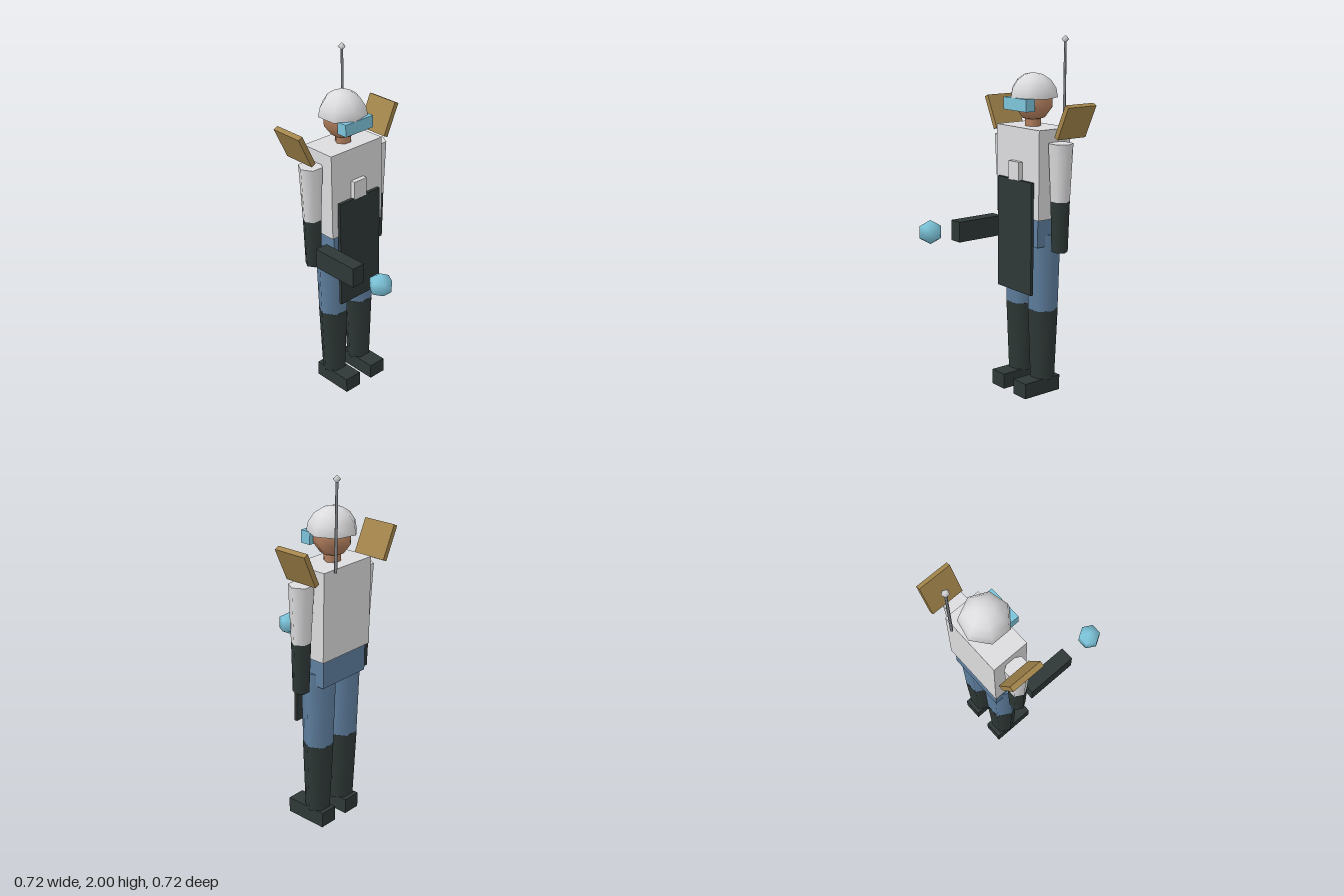
import * as THREE from 'three';

const mat = (name, color, side = THREE.FrontSide) => {
  const m = new THREE.MeshStandardMaterial({ color, side });
  m.name = name;
  return m;
};

export function createModel() {
  const white = mat('white armour', 0xdcdcde, THREE.DoubleSide);
  const dark = mat('dark leather', 0x2e3836);
  const blue = mat('blue cloth', 0x5f7f9f);
  const cyan = mat('cyan glow', 0x7cc4da);
  const bronze = mat('bronze panel', 0xa3854b);
  const skin = mat('skin', 0xb5805f);
  const grey = mat('grey metal', 0x858a8f);

  const root = new THREE.Group();
  root.name = 'armouredFigure';
  const Z = -0.217; // depth of the body's axis

  const add = (name, geo, material, x, y, z) => {
    const m = new THREE.Mesh(geo, material);
    m.name = name;
    m.position.set(x, y, z);
    root.add(m);
    return m;
  };
  // box given by its limits on each axis
  const box = (name, material, [x0, x1], [y0, y1], [z0, z1]) =>
    add(name, new THREE.BoxGeometry(x1 - x0, y1 - y0, z1 - z0), material,
      (x0 + x1) / 2, (y0 + y1) / 2, (z0 + z1) / 2);
  // six-sided tapered limb with corners pointing sideways
  const limb = (name, material, x, y0, y1, r0, r1, z = Z) =>
    add(name, new THREE.CylinderGeometry(r1, r0, y1 - y0, 6).rotateY(Math.PI / 2),
      material, x, (y0 + y1) / 2, z);

  // body
  box('torso', white, [-0.184, 0.184], [1.02, 1.51], [-0.325, -0.109]);
  box('pelvis', blue, [-0.167, 0.167], [0.865, 1.02], [-0.312, -0.118]);
  box('chestBox', white, [-0.045, 0.045], [1.222, 1.325], [-0.109, -0.082]);
  box('frontPlate', dark, [-0.147, 0.147], [0.595, 1.225], [-0.105, -0.087]);

  // head, goggles and helmet
  limb('neck', skin, 0, 1.5, 1.58, 0.045, 0.045);
  add('head', new THREE.SphereGeometry(0.11, 7, 5).rotateY(Math.PI), skin, 0, 1.645, Z);
  box('goggles', cyan, [-0.098, 0.098], [1.6, 1.668], [-0.15, -0.088]);
  add('helmet', new THREE.SphereGeometry(0.135, 7, 4, 0, Math.PI * 2, 0, Math.PI / 2)
    .rotateY(Math.PI), white, 0, 1.665, Z);
  add('helmetRim', new THREE.CircleGeometry(0.135, 7).rotateX(Math.PI / 2),
    white, 0, 1.665, Z);

  // paired limbs and shoulder panels
  for (const [side, s] of [['left', 1], ['right', -1]]) {
    limb(side + 'UpperArm', white, s * 0.235, 1.125, 1.44, 0.053, 0.068);
    limb(side + 'Glove', dark, s * 0.235, 0.845, 1.125, 0.045, 0.053);
    limb(side + 'Thigh', blue, s * 0.098, 0.49, 0.93, 0.084, 0.095);
    limb(side + 'Boot', dark, s * 0.098, 0.08, 0.49, 0.069, 0.085);
    box(side + 'Foot', dark, [s * 0.098 - 0.053, s * 0.098 + 0.053], [0, 0.088], [-0.3, -0.051]);
    const panel = add(side + 'ShoulderPanel', new THREE.BoxGeometry(0.029, 0.195, 0.195),
      bronze, s * 0.305, 1.56, -0.255);
    panel.rotation.z = -s * 0.44;
  }

  // hand-held emitter and its floating orb
  box('emitter', dark, [-0.274, -0.196], [0.865, 0.98], [-0.147, 0.144]);
  add('orb', new THREE.SphereGeometry(0.068, 6, 3), cyan, -0.235, 0.942, 0.311);

  // antenna on the back
  limb('antenna', grey, 0.116, 1.5, 1.98, 0.008, 0.007, -0.342);
  add('antennaTip', new THREE.SphereGeometry(0.022, 5, 2).rotateY(Math.PI), white,
    0.116, 1.978, -0.342);

  return root;
}
